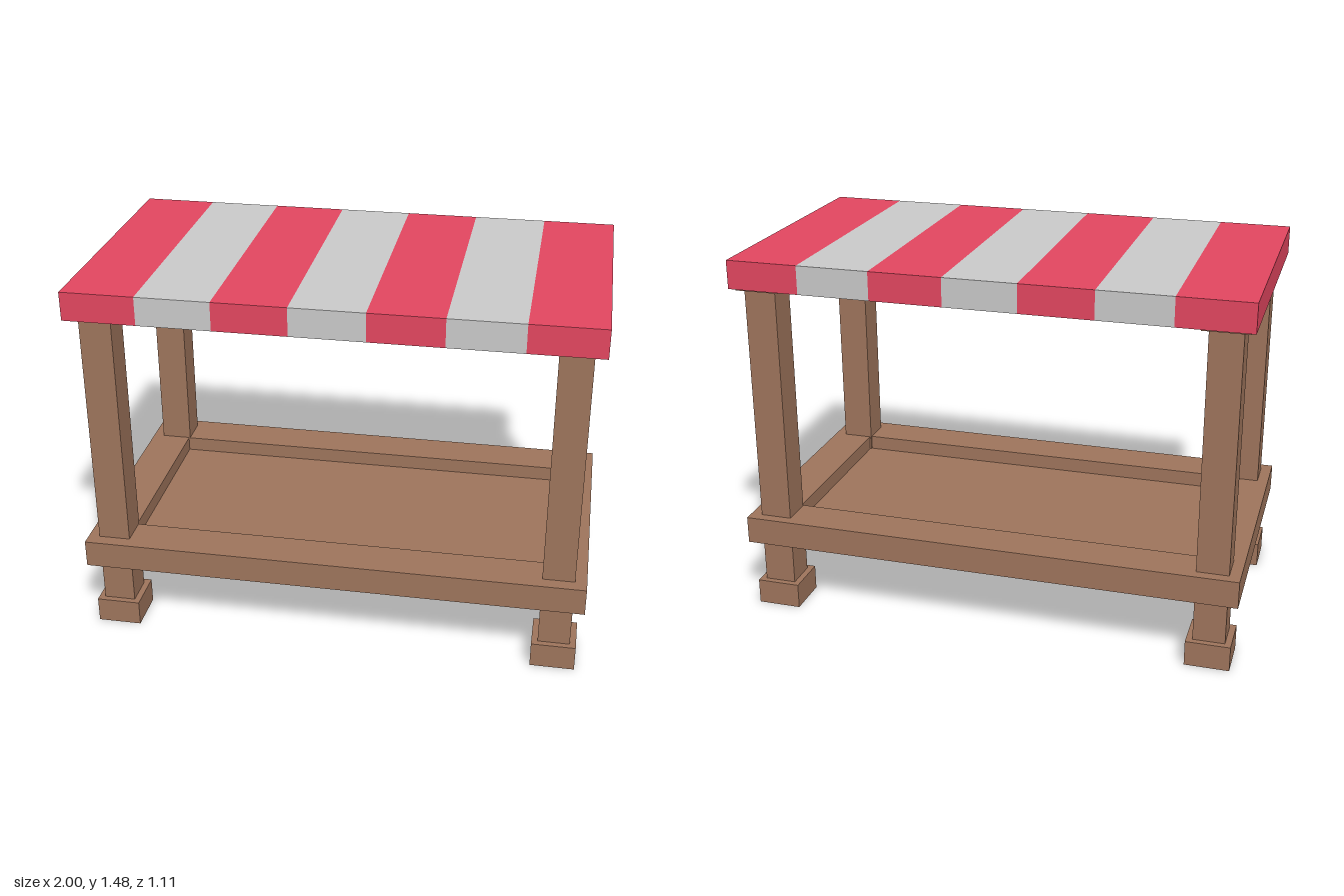
import * as THREE from 'three';

const wood = new THREE.MeshStandardMaterial({ color: 0xa0765d, flatShading: true });
const red = new THREE.MeshStandardMaterial({ color: 0xe54761, flatShading: true });
const grey = new THREE.MeshStandardMaterial({ color: 0xcccccc, flatShading: true });

const WIDTH = 2, DEPTH = 1.106;

// Box standing between heights y0 and y1
function block(name, material, w, d, y0, y1, x = 0, z = 0) {
  const mesh = new THREE.Mesh(new THREE.BoxGeometry(w, y1 - y0, d), material);
  mesh.position.set(x, (y0 + y1) / 2, z);
  mesh.name = name;
  return mesh;
}

// Rectangular outline centred on the origin
function rectangle(PathType, w, d) {
  return new PathType([[-w, -d], [w, -d], [w, d], [-w, d]].map(([x, y]) => new THREE.Vector2(x / 2, y / 2)));
}

function createCounter() {
  const counter = new THREE.Group();
  counter.name = 'counter';
  counter.add(block('counterFloor', wood, WIDTH, DEPTH, 0.285, 0.335));

  // Raised rim around the sunken counter floor
  const outline = rectangle(THREE.Shape, WIDTH, DEPTH);
  outline.holes.push(rectangle(THREE.Path, 1.67, 0.766));
  const geometry = new THREE.ExtrudeGeometry(outline, { depth: 0.06, bevelEnabled: false });
  geometry.rotateX(-Math.PI / 2);
  const rim = new THREE.Mesh(geometry, wood);
  rim.position.y = 0.335;
  rim.name = 'counterRim';
  counter.add(rim);
  return counter;
}

function createLeg(x, z) {
  const leg = new THREE.Group();
  leg.name = 'leg';
  leg.add(
    block('foot', wood, 0.175, 0.175, 0, 0.102),
    block('post', wood, 0.126, 0.126, 0.102, 1.353),
    block('cap', wood, 0.175, 0.175, 1.353, 1.364),
  );
  leg.position.set(x, 0, z);
  return leg;
}

function createRoof() {
  const roof = new THREE.Group();
  roof.name = 'roof';
  // Seven alternating stripes
  const count = 7, stripe = WIDTH / count;
  for (let i = 0; i < count; i++) {
    const x = (i - (count - 1) / 2) * stripe;
    roof.add(block('roofStripe', i % 2 ? grey : red, stripe, DEPTH, 1.362, 1.475, x));
  }
  return roof;
}

export function createModel() {
  const stall = new THREE.Group();
  stall.name = 'marketStall';
  stall.add(createCounter(), createRoof());
  for (const x of [-0.893, 0.891]) {
    for (const z of [0.438, -0.448]) stall.add(createLeg(x, z));
  }
  return stall;
}
